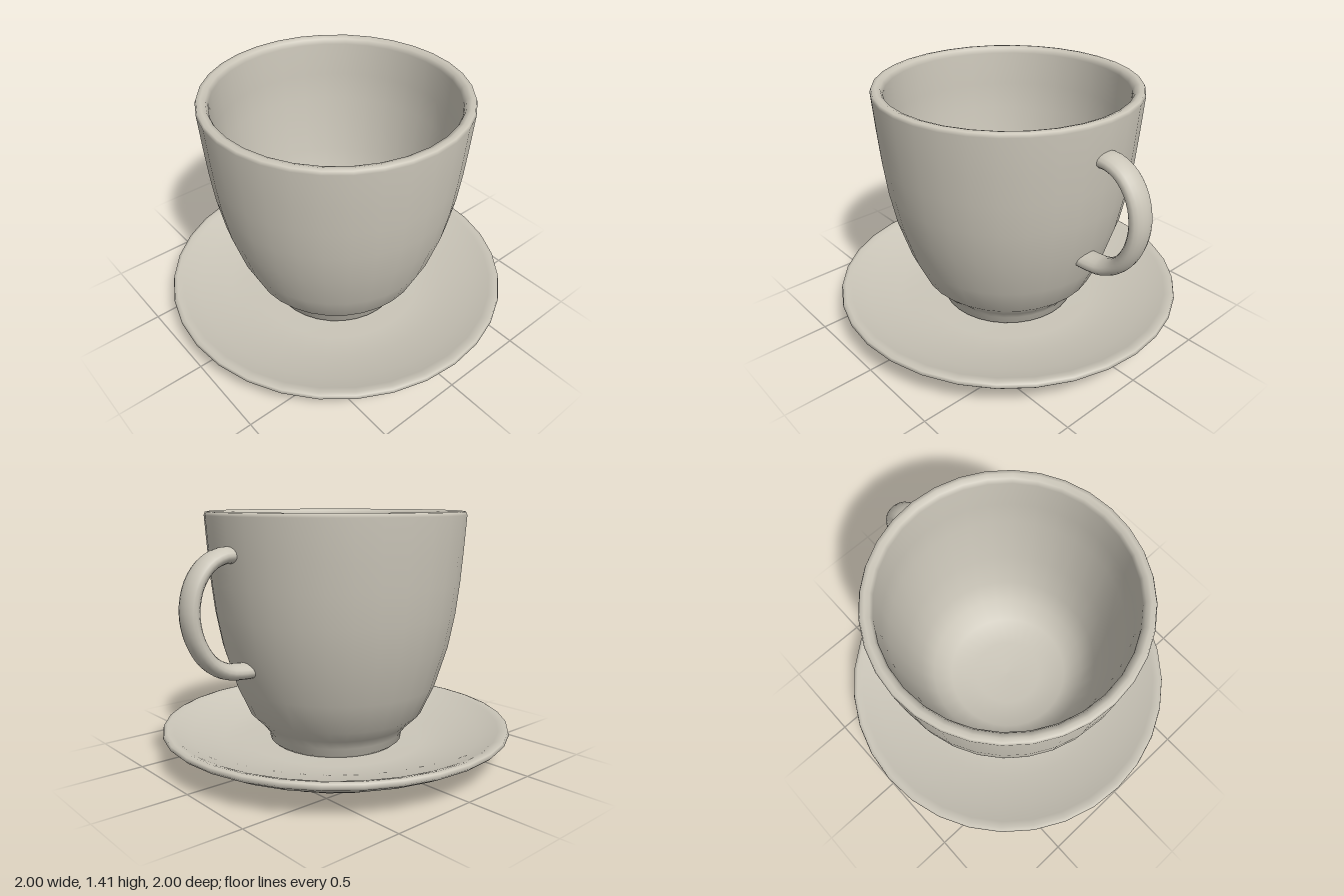
import * as THREE from 'three';

const SEGMENTS = 32;

// Smooth turned part from [radius, height] pairs listed along its surface
function turned(name, profile, material) {
  const points = profile.map(([r, y]) => new THREE.Vector2(r, y));
  const mesh = new THREE.Mesh(new THREE.LatheGeometry(points, SEGMENTS, Math.PI / 2), material);
  mesh.name = name;
  return mesh;
}

export function createModel() {
  const group = new THREE.Group();
  group.name = 'cupAndSaucer';
  const ceramic = new THREE.MeshStandardMaterial({ color: 0xcbc6b9 });
  ceramic.name = 'warm grey ceramic';

  // Saucer: recessed base, foot ring, sloping underside, rounded lip, shallow well
  group.add(turned('saucer', [
    [0, 0.04], [0.54, 0.04], [0.59, 0.025], [0.61, 0.0], [0.645, 0.0],
    [0.675, 0.035], [0.9, 0.115], [0.985, 0.16], [1.0, 0.175], [0.995, 0.195],
    [0.975, 0.2], [0.94, 0.19], [0.84, 0.148], [0.66, 0.105], [0.5, 0.085], [0, 0.085],
  ], ceramic));

  // Cup: foot, flared wall, rounded rim, then down the inside to the floor
  group.add(turned('cup', [
    [0, 0.1], [0.36, 0.08], [0.385, 0.1], [0.39, 0.14], [0.43, 0.195],
    [0.503, 0.267], [0.578, 0.433], [0.647, 0.66], [0.683, 0.85], [0.703, 1.02],
    [0.716, 1.18], [0.73, 1.385], [0.723, 1.403], [0.7, 1.407], [0.675, 1.398],
    [0.663, 1.37], [0.655, 1.18], [0.64, 1.02], [0.59, 0.68], [0.53, 0.45],
    [0.465, 0.31], [0.36, 0.235], [0.2, 0.205], [0, 0.2],
  ], ceramic));

  // Handle: a round tube widened sideways, its ends sunk into the cup wall
  const path = new THREE.CatmullRomCurve3([
    [0.685, 1.192], [0.75, 1.193], [0.84, 1.155], [0.915, 1.06], [0.946, 0.92],
    [0.92, 0.78], [0.85, 0.665], [0.76, 0.605], [0.67, 0.588], [0.59, 0.585],
  ].map(([x, y]) => new THREE.Vector3(x, y, 0)));
  const handle = new THREE.Mesh(new THREE.TubeGeometry(path, 28, 0.044, 16), ceramic);
  handle.name = 'handle';
  handle.scale.z = 1.64;
  group.add(handle);

  return group;
}
